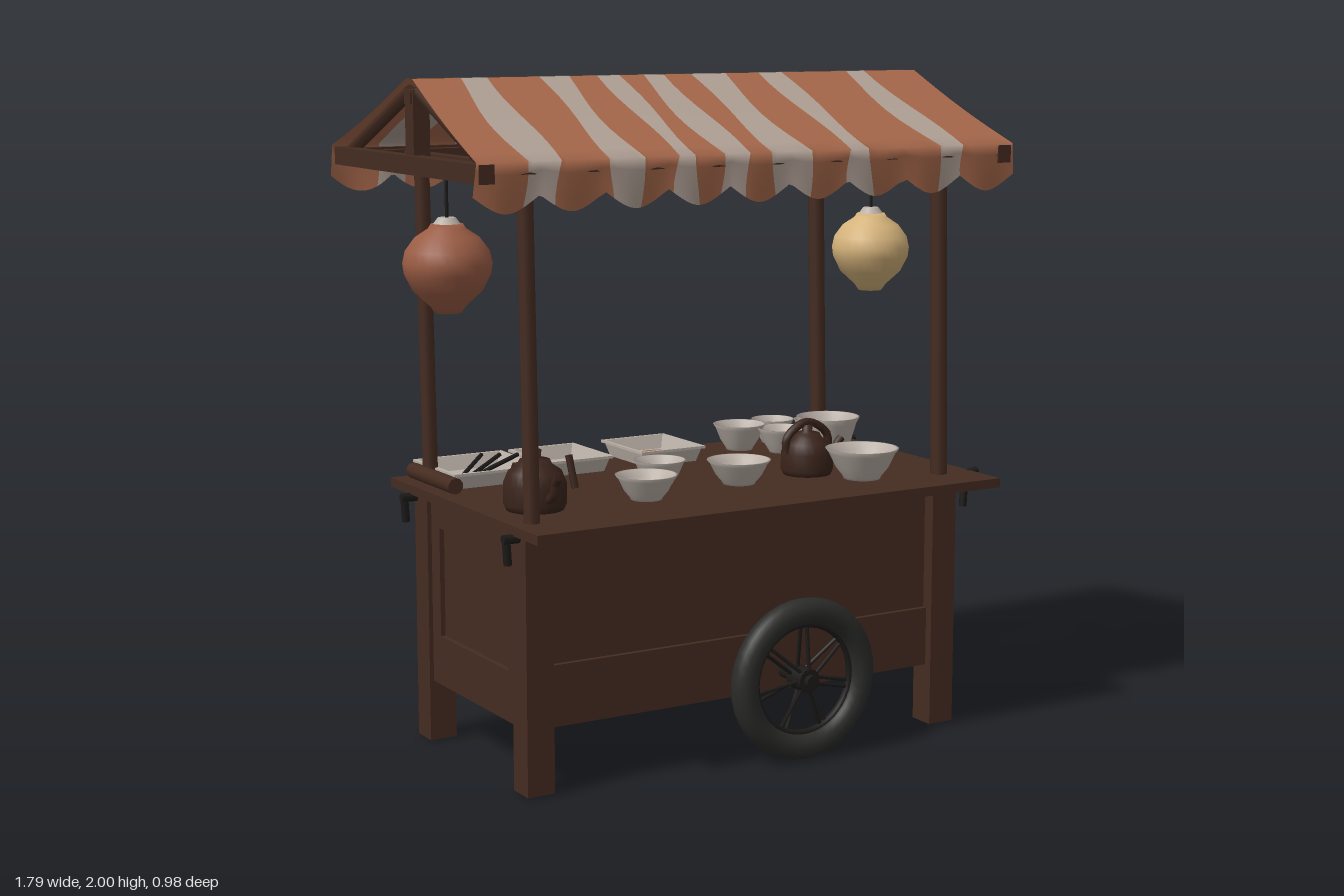
import * as THREE from 'three';

const mat = (name, color, extra = {}) => {
  const m = new THREE.MeshStandardMaterial({ color, ...extra });
  m.name = name;
  return m;
};

export function createModel() {
  const wood = mat('dark wood', 0x452c21);
  const copper = mat('kettle brown', 0x3a241b);
  const iron = mat('black iron', 0x1d1a19);
  const rubber = mat('tyre rubber', 0x2b2b2a);
  const cream = mat('cream cloth', 0xb0a095, { side: THREE.DoubleSide });
  const orange = mat('orange cloth', 0xa5674a, { side: THREE.DoubleSide });
  const china = mat('white china', 0xbab0a7, { side: THREE.DoubleSide });
  const paperRed = mat('red paper', 0x9a5c44);
  const paperYellow = mat('yellow paper', 0xd4b27a);

  const model = new THREE.Group();
  const add = (name, geo, material, x = 0, y = 0, z = 0, parent = model) => {
    const m = new THREE.Mesh(geo, material);
    m.name = name;
    m.position.set(x, y, z);
    parent.add(m);
    return m;
  };
  const group = (name, x, y, z, parent = model) => {
    const g = new THREE.Group();
    g.name = name;
    g.position.set(x, y, z);
    parent.add(g);
    return g;
  };
  // Box given by its extents on each axis
  const block = (name, x0, x1, y0, y1, z0, z1, m = wood) =>
    add(name, new THREE.BoxGeometry(x1 - x0, y1 - y0, z1 - z0), m, (x0 + x1) / 2, (y0 + y1) / 2, (z0 + z1) / 2);
  // Straight bar between two points; 4 sides gives a square timber
  const bar = (name, a, b, r, m = wood, sides = 8, parent = model) => {
    const p = new THREE.Vector3(...a), q = new THREE.Vector3(...b), d = q.clone().sub(p);
    const geo = new THREE.CylinderGeometry(r, r, d.length(), sides);
    const mesh = add(name, geo, m, 0, 0, 0, parent);
    mesh.position.copy(p).addScaledVector(d, 0.5);
    mesh.quaternion.setFromUnitVectors(new THREE.Vector3(0, 1, 0), d.normalize());
    return mesh;
  };
  const tube = (name, pts, r, m, parent = model) => {
    const curve = new THREE.CatmullRomCurve3(pts.map(p => new THREE.Vector3(...p)));
    return add(name, new THREE.TubeGeometry(curve, 16, r, 6), m, 0, 0, 0, parent);
  };
  const lathe = (pts, n = 24) => new THREE.LatheGeometry(pts.map(p => new THREE.Vector2(...p)), n);

  // Cabinet, rails and counter
  block('cabinet', -0.665, 0.762, 0.19, 0.757, -0.32, 0.32);
  block('lowerPanel', -0.66, 0.755, 0.19, 0.37, -0.335, 0.335);
  for (const [x0, x1] of [[-0.68, -0.66], [0.76, 0.775]]) {
    block('sideTopRail', x0, x1, 0.67, 0.757, -0.29, 0.29);
    block('sideBottomRail', x0, x1, 0.19, 0.34, -0.29, 0.29);
    for (const s of [-1, 1]) block('sideStile', x0, x1, 0.34, 0.67, s * 0.255 - 0.035, s * 0.255 + 0.035);
  }
  block('counter', -0.72, 0.86, 0.757, 0.785, -0.472, 0.485);

  // Legs, posts and hooks
  for (const s of [-1, 1]) {
    for (const x of [-0.65, 0.745]) block('leg', x - 0.043, x + 0.043, 0.005, 0.757, s * 0.318 - 0.043, s * 0.318 + 0.043);
    bar('post', [-0.655, 0.78, s * 0.328], [-0.668, 1.76, s * 0.328], 0.024);
    bar('post', [0.745, 0.78, s * 0.328], [0.724, 1.76, s * 0.328], 0.026);
    for (const [x, d] of [[-0.7, -1], [0.8, 1]]) {
      const z = s * 0.335;
      bar('hookArm', [x, 0.748, z], [x + d * 0.05, 0.748, z], 0.014, iron, 6);
      bar('hook', [x + d * 0.04, 0.755, z], [x + d * 0.035, 0.675, z], 0.012, iron, 6);
    }
    bar('counterPeg', [0.83, 0.77, s * 0.33], [0.89, 0.782, s * 0.33], 0.012, iron, 6);
  }
  bar('pushHandle', [-0.71, 0.83, -0.04], [-0.71, 0.83, -0.33], 0.024, wood, 10);

  // Wheels on an axle
  bar('axle', [0.18, 0.245, -0.485], [0.18, 0.245, 0.49], 0.02, iron, 10);
  for (const z of [-0.432, 0.438]) {
    const w = group('wheel', 0.18, 0.245, z);
    add('tyre', new THREE.TorusGeometry(0.204, 0.04, 12, 40), rubber, 0, 0, 0, w);
    add('rim', new THREE.TorusGeometry(0.165, 0.011, 8, 36), iron, 0, 0, 0, w);
    add('hub', new THREE.CylinderGeometry(0.036, 0.036, 0.07, 14), iron, 0, 0, 0, w).rotation.x = Math.PI / 2;
    for (let i = 0; i < 14; i++) {
      const a = i / 14 * Math.PI * 2, b = a + (i % 2 ? 0.16 : -0.16);
      bar('spoke', [0.03 * Math.cos(a), 0.03 * Math.sin(a), i % 2 ? 0.02 : -0.02],
        [0.163 * Math.cos(b), 0.163 * Math.sin(b), 0], 0.006, iron, 5, w);
    }
  }

  // Roof frame
  for (const s of [-1, 1]) {
    block('endBeam', s * 0.855 - 0.023, s * 0.855 + 0.023, 1.738, 1.79, -0.478, 0.478);
    block('kingPost', s * 0.83 - 0.025, s * 0.83 + 0.025, 1.785, 1.97, -0.027, 0.027);
    block('longBeam', -0.85, 0.85, 1.745, 1.785, s * 0.33 - 0.022, s * 0.33 + 0.022);
    block('eaveBeam', -0.86, 0.86, 1.76, 1.785, s * 0.46 - 0.014, s * 0.46 + 0.014);
    for (const x of [-0.835, 0.825]) bar('rafter', [x, 1.782, s * 0.44], [x, 1.965, s * 0.03], 0.02, wood, 6);
  }
  for (const x of [-0.71, 0.715]) block('crossBeam', x - 0.022, x + 0.022, 1.742, 1.782, -0.35, 0.35);
  block('ridgeBeam', -0.86, 0.85, 1.93, 1.965, -0.02, 0.02);

  // Striped awning: each stripe runs from the ridge to the scalloped hem
  const stripes = {
    1: [-0.885, -0.74, -0.635, -0.475, -0.385, -0.27, -0.205, -0.13, -0.04, 0.045, 0.16, 0.3, 0.375, 0.61, 0.7, 0.885],
    '-1': [-0.885, -0.745, -0.635, -0.475, -0.36, -0.275, -0.2, -0.13, -0.035, 0.05, 0.155, 0.31, 0.47, 0.6, 0.73, 0.885],
  };
  const rows = 12, slopeRows = 8, cols = 8;
  const stripe = (s, edges, i) => {
    const last = edges.length - 1, pos = [], idx = [];
    const wobble = (k, t) => (k === 0 || k === last) ? 0 : 0.012 * Math.sin(t * 5 + k * 2.1);
    for (let r = 0; r <= rows; r++) {
      const t = Math.min(r / slopeRows, 1), h = Math.max((r - slopeRows) / (rows - slopeRows), 0);
      const a = edges[i] + wobble(i, t + h * 0.4), b = edges[i + 1] + wobble(i + 1, t + h * 0.4);
      for (let c = 0; c <= cols; c++) {
        const x = a + (b - a) * c / cols;
        const hem = 0.09 + 0.048 * Math.abs(Math.sin(Math.PI * (x + 0.885) / 0.1967));
        const y = 2 - 0.205 * t - 0.008 * Math.sin(Math.PI * t) - h * hem;
        const z = 0.02 + 0.457 * t - h * 0.006 * (1 + Math.sin(x * 32));
        pos.push(x * (0.965 + 0.035 * t + 0.01 * h), y, s * z);
        if (r && c) {
          const q = r * (cols + 1) + c, p = q - cols - 1;
          if (s > 0) idx.push(p - 1, q - 1, q, p - 1, q, p);
          else idx.push(p - 1, q, q - 1, p - 1, p, q);
        }
      }
    }
    const g = new THREE.BufferGeometry();
    g.setAttribute('position', new THREE.Float32BufferAttribute(pos, 3));
    g.setIndex(idx);
    g.computeVertexNormals();
    add('awningStripe', g, i % 2 ? cream : orange);
  };
  for (const s of [1, -1]) for (let i = 0; i < stripes[s].length - 1; i++) stripe(s, stripes[s], i);

  // Paper lanterns
  const lantern = (x, y, r, h, m) => {
    const g = group('lantern', x, y, 0);
    add('lanternShade', lathe([[0, -h], [0.3 * r, -h], [0.4 * r, -0.85 * h], [0.78 * r, -0.5 * h], [0.97 * r, -0.12 * h],
      [r, 0.12 * h], [0.94 * r, 0.4 * h], [0.72 * r, 0.7 * h], [0.42 * r, 0.9 * h], [0.36 * r, h], [0, h]], 28), m, 0, 0, 0, g);
    add('lanternCap', new THREE.CylinderGeometry(0.2 * r, 0.32 * r, 0.02, 14), china, 0, h + 0.008, 0, g);
    bar('lanternCord', [0, h, 0], [0, 1.75 - y, 0], 0.005, iron, 6, g);
  };
  lantern(-0.745, 1.468, 0.127, 0.126, paperRed);
  lantern(0.712, 1.44, 0.12, 0.12, paperYellow);

  // Bowls: x, z, rim radius, height
  const bowls = [[-0.22, 0.21, 0.092, 0.075], [-0.07, 0.03, 0.08, 0.075], [0.135, 0.15, 0.097, 0.075], [0.5, 0.27, 0.112, 0.095],
    [0.6, -0.06, 0.1, 0.135], [0.44, -0.33, 0.085, 0.085], [0.6, -0.38, 0.07, 0.08], [0.69, -0.25, 0.078, 0.09], [0.53, -0.22, 0.078, 0.08]];
  for (const [x, z, r, h] of bowls)
    add('bowl', lathe([[0, 0.002], [0.5 * r, 0.002], [0.52 * r, 0.1 * h], [0.72 * r, 0.4 * h], [0.9 * r, 0.85 * h],
      [r, h], [0.93 * r, h], [0.8 * r, 0.75 * h], [0.55 * r, 0.3 * h], [0, 0.22 * h]]), china, x, 0.784, z);

  // Serving trays: x, z, width, depth
  for (const [x, z, w, d] of [[-0.5, -0.32, 0.3, 0.29], [-0.21, -0.335, 0.23, 0.26], [0.12, -0.335, 0.23, 0.26]]) {
    let g = lathe([[0, 0.008], [0.56, 0.008], [0.65, 0.05], [0.707, 0.05], [0.707, 0.042], [0.655, 0.042], [0.58, 0]], 4);
    g = g.rotateY(Math.PI / 4).scale(w, 1, d).toNonIndexed();
    g.computeVertexNormals();
    add('tray', g, china, x, 0.785, z);
  }
  add('food', new THREE.CylinderGeometry(0.055, 0.06, 0.009, 16), orange, 0.13, 0.798, -0.33);
  for (const o of [0, 0.05, 0.1])
    bar('servingTongs', [-0.6 + o, 0.802, -0.25 - o * 0.6], [-0.46 + o, 0.845, -0.38 + o * 0.5], 0.007, iron, 6);
  bar('ladle', [-0.33, 0.79, -0.02], [-0.335, 0.885, -0.05], 0.011, copper, 6);

  // Kettles: body, lid, spout and carrying handle
  const kettle = (name, x, z, size, turn) => {
    const k = group(name, x, 0.784, z);
    k.scale.setScalar(size);
    k.rotation.y = turn;
    add('kettleBody', lathe([[0, 0], [0.085, 0], [0.094, 0.02], [0.094, 0.08], [0.08, 0.115], [0.052, 0.135],
      [0.045, 0.15], [0.018, 0.157], [0.02, 0.178], [0, 0.182]]), copper, 0, 0, 0, k);
    tube('kettleSpout', [[0.08, 0.04, 0], [0.115, 0.06, 0], [0.13, 0.1, 0], [0.15, 0.12, 0]], 0.014, copper, k);
    return k;
  };
  const first = kettle('kettle', -0.56, 0.165, 0.97, -Math.PI / 2);
  tube('kettleHandle', [[-0.08, 0.1, 0], [-0.125, 0.11, 0], [-0.13, 0.06, 0], [-0.085, 0.035, 0]], 0.012, copper, first);
  const second = kettle('teapot', 0.4, 0.12, 0.85, 0);
  tube('teapotHandle', [[-0.09, 0.08, 0], [-0.085, 0.14, 0], [0, 0.19, 0], [0.085, 0.14, 0], [0.09, 0.08, 0]], 0.015, copper, second);

  return model;
}
